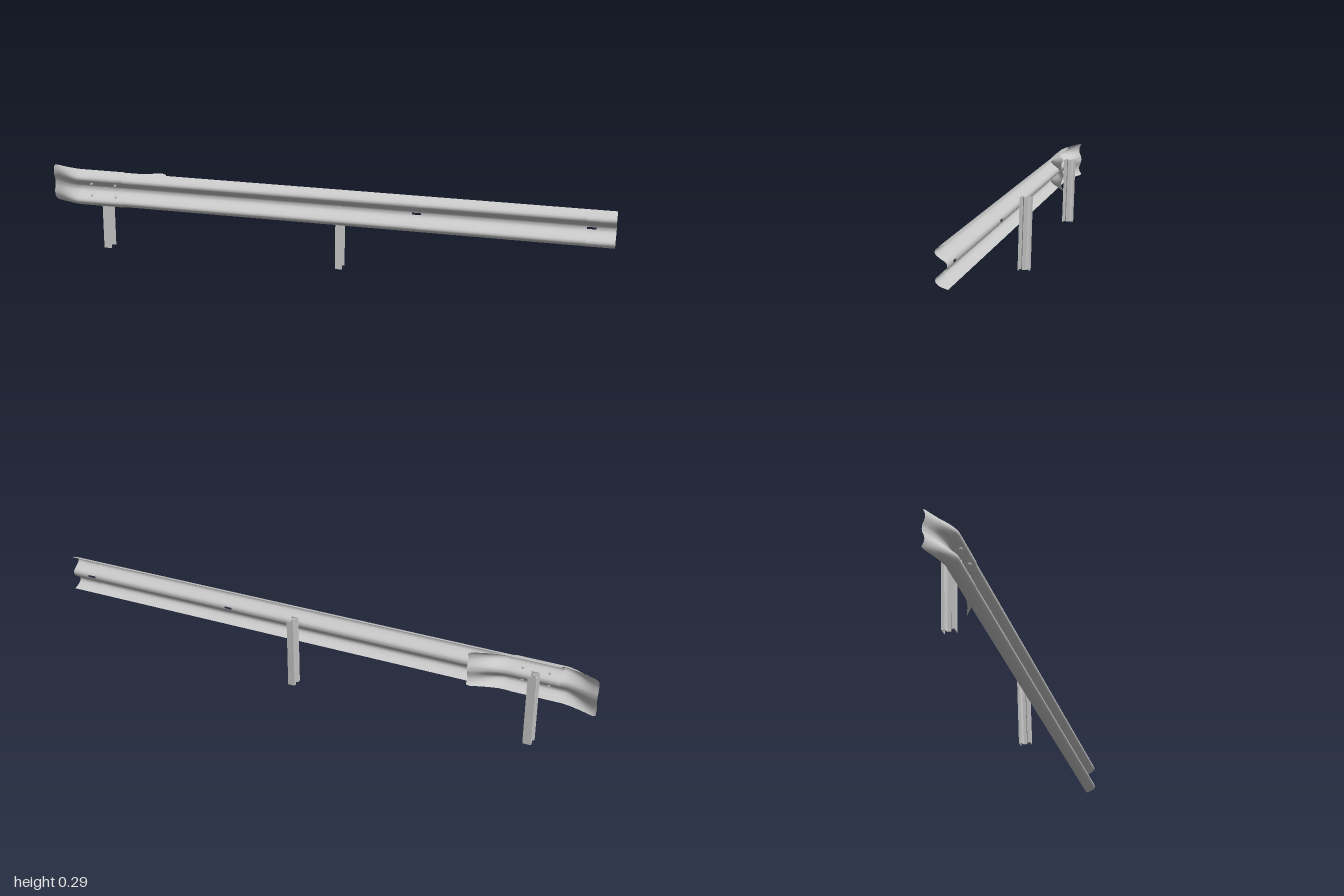
import * as THREE from 'three';

const steel = new THREE.MeshStandardMaterial({ color: 0xcccccc, side: THREE.DoubleSide });
const MID = 0.225;

// Double-wave cross-section, bottom to top: [y, z]
const lower = [[0.161, 0.003], [0.164, 0.014], [0.171, 0.03], [0.179, 0.038], [0.186, 0.04],
  [0.193, 0.037], [0.202, 0.026], [0.21, 0.013], [0.216, 0.007], [0.2215, 0.005]];
const wave = [...lower, ...lower.map(([y, z]) => [2 * MID - y, z]).reverse()];
const VALLEY = lower.length - 1;

const range = (a, b, n) => Array.from({ length: n + 1 }, (_, i) => a + (b - a) * i / n);

// Sweeps the wave along x; form(x) bends, flattens and scales it; slots leave out valley faces
function waveSheet(name, xs, form, slots = []) {
  const pos = [], index = [], n = wave.length;
  xs.forEach((x, i) => {
    const { bend = 0, depth = 1, height = 1 } = form(x);
    wave.forEach(([y, z]) => pos.push(x, MID + (y - MID) * height, bend + 0.003 + (z - 0.003) * depth));
    if (i === xs.length - 1) return;
    const middle = (x + xs[i + 1]) / 2;
    for (let j = 0; j < n - 1; j++) {
      if (j === VALLEY && slots.some(s => Math.abs(s - middle) < 0.015)) continue;
      const a = i * n + j, b = a + n;
      index.push(a, b, b + 1, a, b + 1, a + 1);
    }
  });
  const geo = new THREE.BufferGeometry();
  geo.setAttribute('position', new THREE.Float32BufferAttribute(pos, 3));
  geo.setIndex(index);
  geo.computeVertexNormals();
  const mesh = new THREE.Mesh(geo, steel);
  mesh.name = name;
  return mesh;
}

// Folded sigma-section post, leaning slightly backward
function makePost(name, x, width) {
  const section = [[0.013, 0], [-0.012, 0], [-0.012, 0.01], [0, 0.015], [0, 0.026], [-0.012, 0.031],
    [-0.012, 0.041], [0.013, 0.041], [0.013, 0.0385], [-0.0095, 0.0385], [-0.0095, 0.033],
    [0.0025, 0.028], [0.0025, 0.013], [-0.0095, 0.008], [-0.0095, 0.0025], [0.013, 0.0025]];
  const shape = new THREE.Shape(section.map(([u, v]) => new THREE.Vector2(u * width, v)));
  const geo = new THREE.ExtrudeGeometry(shape, { depth: 0.254, bevelEnabled: false });
  geo.rotateX(-Math.PI / 2);
  const p = geo.attributes.position;
  for (let i = 0; i < p.count; i++) p.setZ(i, p.getZ(i) + 0.008 - 0.03 * p.getY(i));
  geo.computeVertexNormals();
  const mesh = new THREE.Mesh(geo, steel);
  mesh.name = name;
  mesh.position.x = x;
  return mesh;
}

// Short bolt passing through the sheets
function makeBolt(x, y, z, length) {
  const geo = new THREE.CylinderGeometry(0.004, 0.004, length, 10);
  geo.rotateX(Math.PI / 2);
  const mesh = new THREE.Mesh(geo, steel);
  mesh.name = 'bolt';
  mesh.position.set(x, y, z);
  return mesh;
}

export function createModel() {
  const model = new THREE.Group();
  model.name = 'guardrail';

  // Main beam, with slotted holes along the valley
  const slots = [0.34, 0.92];
  const xs = [...range(-0.87, 1, 40), ...slots.flatMap(s => [s - 0.015, s + 0.015])]
    .sort((a, b) => a - b);
  model.add(waveSheet('beam', xs, () => ({}), slots));

  // Front end piece, curling backward and flattening out
  model.add(waveSheet('endPiece', [...range(-1, -0.86, 20), ...range(-0.84, -0.71, 4)], x => {
    const t = Math.max(0, (-0.88 - x) / 0.12);
    const corner = Math.max(0, (-0.985 - x) / 0.015);
    return { bend: 0.0015 - 0.037 * t ** 1.4, depth: 1 - 0.75 * t * t * (3 - 2 * t),
      height: 1.03 - 0.08 * corner ** 2 };
  }));

  // Rear splice plate, its free end flaring away from the beam
  model.add(waveSheet('splicePlate', [...range(-0.87, -0.71, 4), ...range(-0.7, -0.57, 20)], x => {
    const t = Math.max(0, (x + 0.69) / 0.12);
    const corner = Math.max(0, (x + 0.585) / 0.015);
    return { bend: -0.0015 - 0.035 * t ** 1.5, depth: 1 - 0.75 * t * t * (3 - 2 * t),
      height: 0.97 - 0.1 * corner ** 2 };
  }));

  // Posts
  model.add(makePost('endPost', -0.79, 1.15));
  model.add(makePost('middlePost', 0.07, 1));

  // Splice bolts on the slopes and post bolts in the valley
  const bolts = new THREE.Group();
  bolts.name = 'bolts';
  for (const x of [-0.83, -0.74])
    for (const side of [-1, 1]) bolts.add(makeBolt(x, MID + side * 0.022, 0.025, 0.016));
  for (const x of [-0.79, 0.07]) bolts.add(makeBolt(x, MID, 0.004, 0.012));
  model.add(bolts);

  return model;
}
